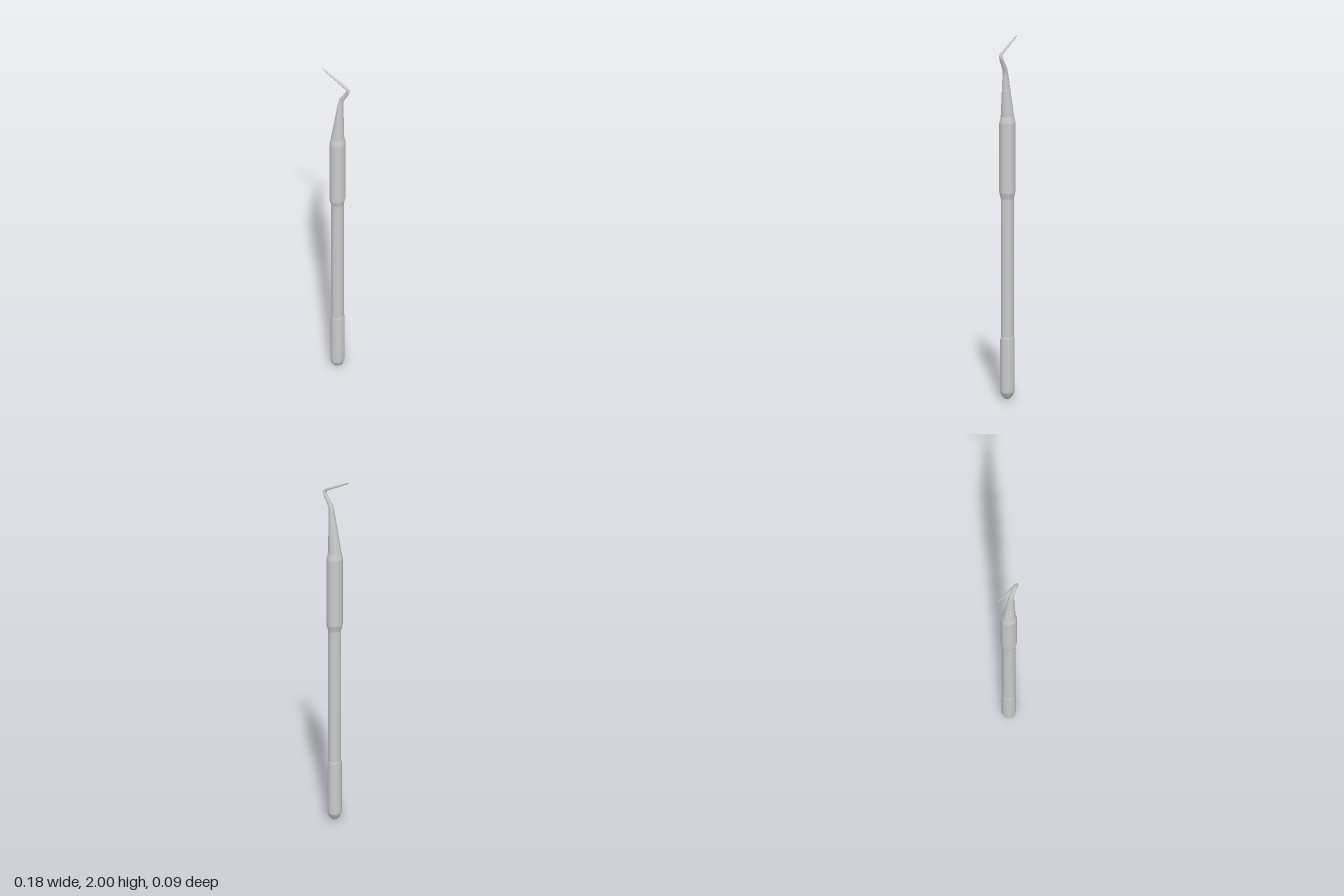
import * as THREE from 'three';

const SIDES = 8;
const AXIS_X = 0.009;
const material = new THREE.MeshStandardMaterial({ color: 0xcccccc });

// Turned part from [radius, height] pairs, listed bottom to top
function turned(name, profile) {
  const points = profile.map(([r, y]) => new THREE.Vector2(r, y));
  const mesh = new THREE.Mesh(new THREE.LatheGeometry(points, SIDES), material);
  mesh.name = name;
  mesh.position.x = AXIS_X;
  return mesh;
}

// Tapered bent rod from [x, y, radius] stations lying in the z = 0 plane
function bentRod(name, stations) {
  const positions = [], index = [];
  const last = stations.length - 1;
  const centre = stations.map(([x, y]) => new THREE.Vector2(x, y));
  stations.forEach(([x, y, r], i) => {
    const dir = new THREE.Vector2();
    if (i > 0) dir.add(centre[i].clone().sub(centre[i - 1]).normalize());
    if (i < last) dir.add(centre[i + 1].clone().sub(centre[i]).normalize());
    if (i === 0) dir.set(0, 1);
    dir.normalize();
    for (let k = 0; k < SIDES; k++) {
      const a = (k / SIDES) * Math.PI * 2;
      const u = r * Math.sin(a);
      positions.push(x + dir.y * u, y - dir.x * u, r * Math.cos(a));
    }
  });
  for (let i = 0; i < last; i++) {
    for (let k = 0; k < SIDES; k++) {
      const a = i * SIDES + k, b = i * SIDES + (k + 1) % SIDES;
      index.push(a, b, a + SIDES, b, b + SIDES, a + SIDES);
    }
  }
  // Close the fine end
  const end = last * SIDES;
  for (let k = 1; k < SIDES - 1; k++) index.push(end, end + k, end + k + 1);
  const geometry = new THREE.BufferGeometry();
  geometry.setAttribute('position', new THREE.Float32BufferAttribute(positions, 3));
  geometry.setIndex(index);
  geometry.computeVertexNormals();
  const mesh = new THREE.Mesh(geometry, material);
  mesh.name = name;
  return mesh;
}

export function createModel() {
  const group = new THREE.Group();
  group.name = 'dentalProbe';

  // Rounded butt and its slightly thicker sleeve
  group.add(turned('buttEnd', [[0, 0], [0.016, 0.007], [0.03, 0.02], [0.038, 0.04]]));
  group.add(turned('buttSleeve', [[0.038, 0.04], [0.04, 0.055], [0.04, 0.335], [0.036, 0.345]]));

  // Long handle, flared collar, finger grip and shoulder
  group.add(turned('handle', [[0.036, 0.345], [0.036, 1.11]]));
  group.add(turned('collar', [[0.036, 1.11], [0.045, 1.145]]));
  group.add(turned('grip', [[0.045, 1.145], [0.045, 1.53]]));
  group.add(turned('shoulder', [[0.045, 1.53], [0.037, 1.565]]));

  // Tapered shank that bends out, then hooks back to a fine point
  group.add(bentRod('shankAndTip', [
    [AXIS_X, 1.565, 0.037],
    [0.028, 1.79, 0.017],
    [0.034, 1.83, 0.0135],
    [0.07, 1.89, 0.0105],
    [0.077, 1.908, 0.01],
    [0.068, 1.921, 0.008],
    [-0.078, 1.993, 0.004],
    [-0.088, 1.998, 0.0015],
  ]));
  return group;
}
